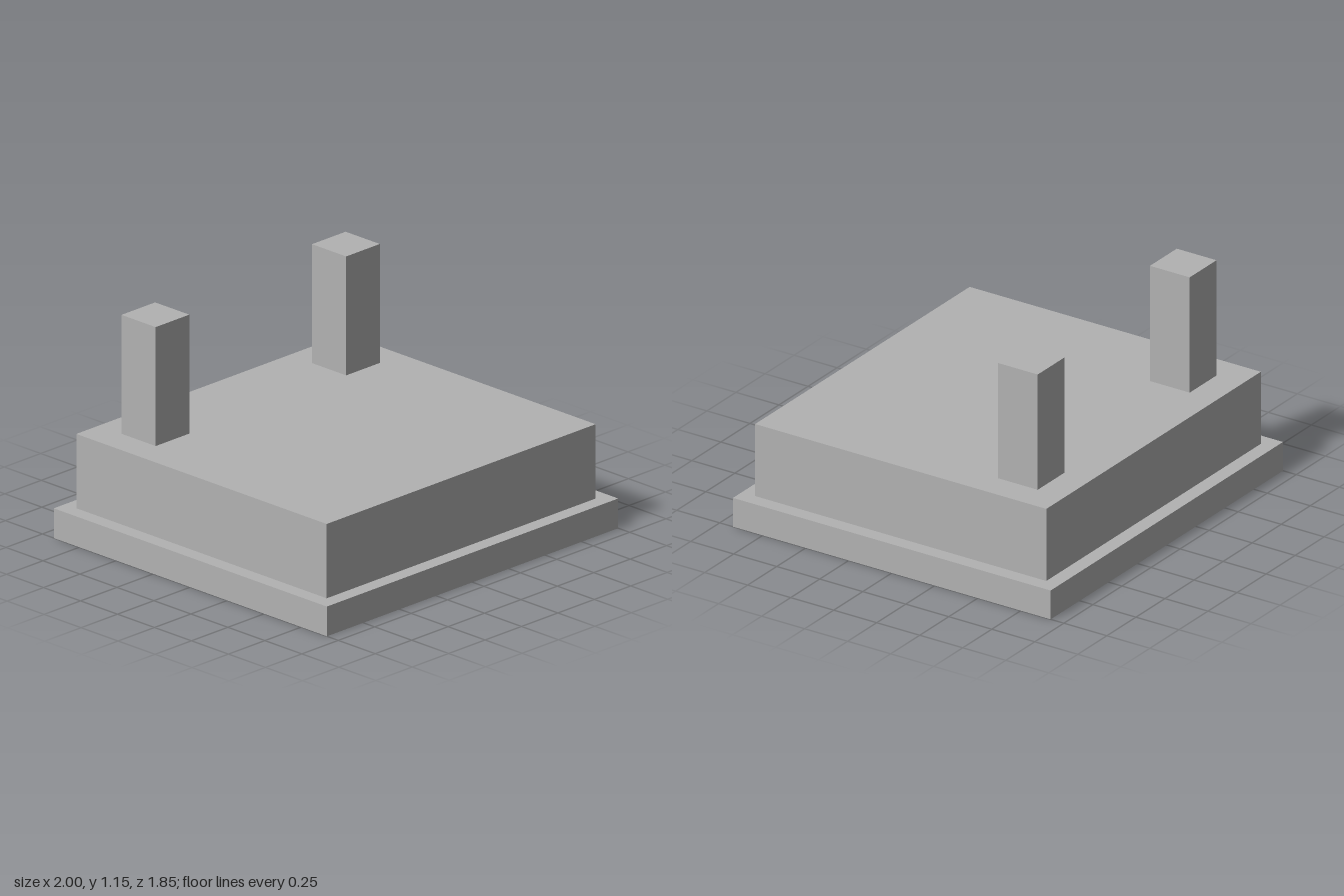
import * as THREE from 'three';

const U = 1 / 13; // modelling unit: the plinth is 26 units wide

export function createModel() {
  const model = new THREE.Group();
  model.name = 'blockWithPosts';

  const grey = new THREE.MeshStandardMaterial({ color: 0xb2b2b2 });
  grey.name = 'grey';

  // Box given by its size and the centre of its underside, in units
  function addBox(name, [w, h, d], [x, y, z]) {
    const mesh = new THREE.Mesh(new THREE.BoxGeometry(w * U, h * U, d * U), grey);
    mesh.name = name;
    mesh.position.set(x * U, (y + h / 2) * U, z * U);
    model.add(mesh);
  }

  // Wide plinth with the main slab on top
  addBox('plinth', [26, 2, 24], [0, 0, 0]);
  addBox('slab', [24, 5, 22], [0, 2, 0]);

  // Two square posts near the back corners
  for (const side of [-1, 1]) {
    addBox(side > 0 ? 'leftPost' : 'rightPost', [3, 8, 3], [side * 8.5, 7, -7.5]);
  }

  return model;
}
